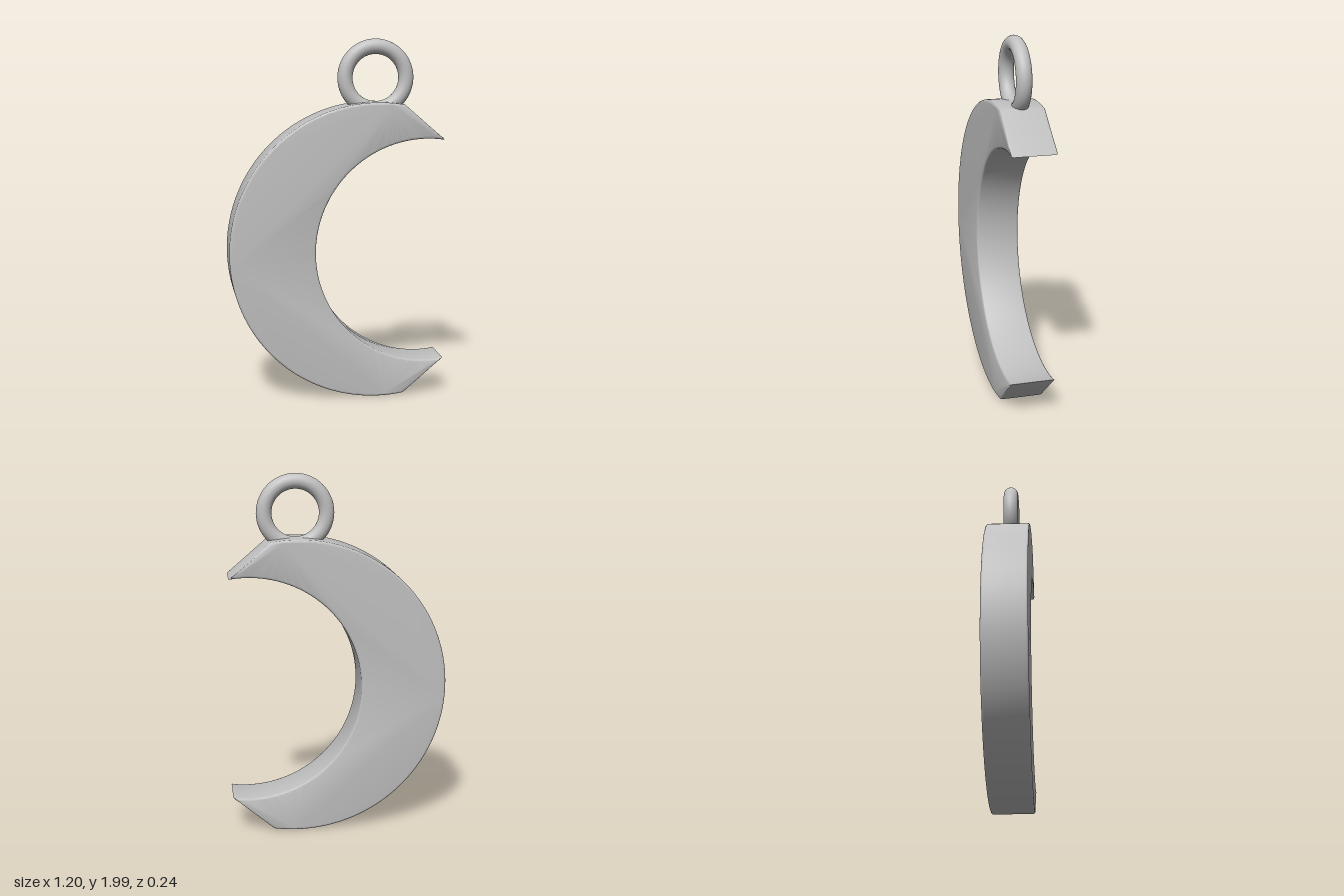
import * as THREE from 'three';
import { toCreasedNormals } from 'three/addons/utils/BufferGeometryUtils.js';

const MID_Y = 0.83;
const DEPTH = 0.244;
const BEVEL = 0.012;

// Crescent outline: outer arc, slanted cut to the tip, inner arc back
function crescentShape() {
  const outer = { x: 0.225, r: 0.825 };
  const inner = { x: 0.5, r: 0.625 };
  const a = Math.acos((0.37 - outer.x) / outer.r);
  const b = Math.acos((0.597 - inner.x) / inner.r);
  const shape = new THREE.Shape();
  shape.absarc(outer.x, MID_Y, outer.r, a, 2 * Math.PI - a, false);
  shape.absarc(inner.x, MID_Y, inner.r, 2 * Math.PI - b, b, true);
  shape.closePath();
  return shape;
}

export function createModel() {
  const group = new THREE.Group();
  const silver = new THREE.MeshStandardMaterial({ color: 0xc0c0c0 });
  silver.name = 'silver';

  // Thick crescent with softly rounded edges
  const body = new THREE.ExtrudeGeometry(crescentShape(), {
    depth: DEPTH - 2 * BEVEL,
    curveSegments: 64,
    bevelEnabled: true,
    bevelThickness: BEVEL,
    bevelSize: BEVEL,
    bevelOffset: -BEVEL,
    bevelSegments: 3,
  });
  body.translate(0, 0, BEVEL - DEPTH / 2);
  const crescent = new THREE.Mesh(toCreasedNormals(body, 0.65), silver);
  crescent.name = 'crescent';
  group.add(crescent);

  // Hanging ring sunk slightly into the top
  const ring = new THREE.Mesh(new THREE.TorusGeometry(0.171, 0.042, 24, 64), silver);
  ring.name = 'hangingRing';
  ring.position.set(0.225, 1.787, 0);
  group.add(ring);

  return group;
}
